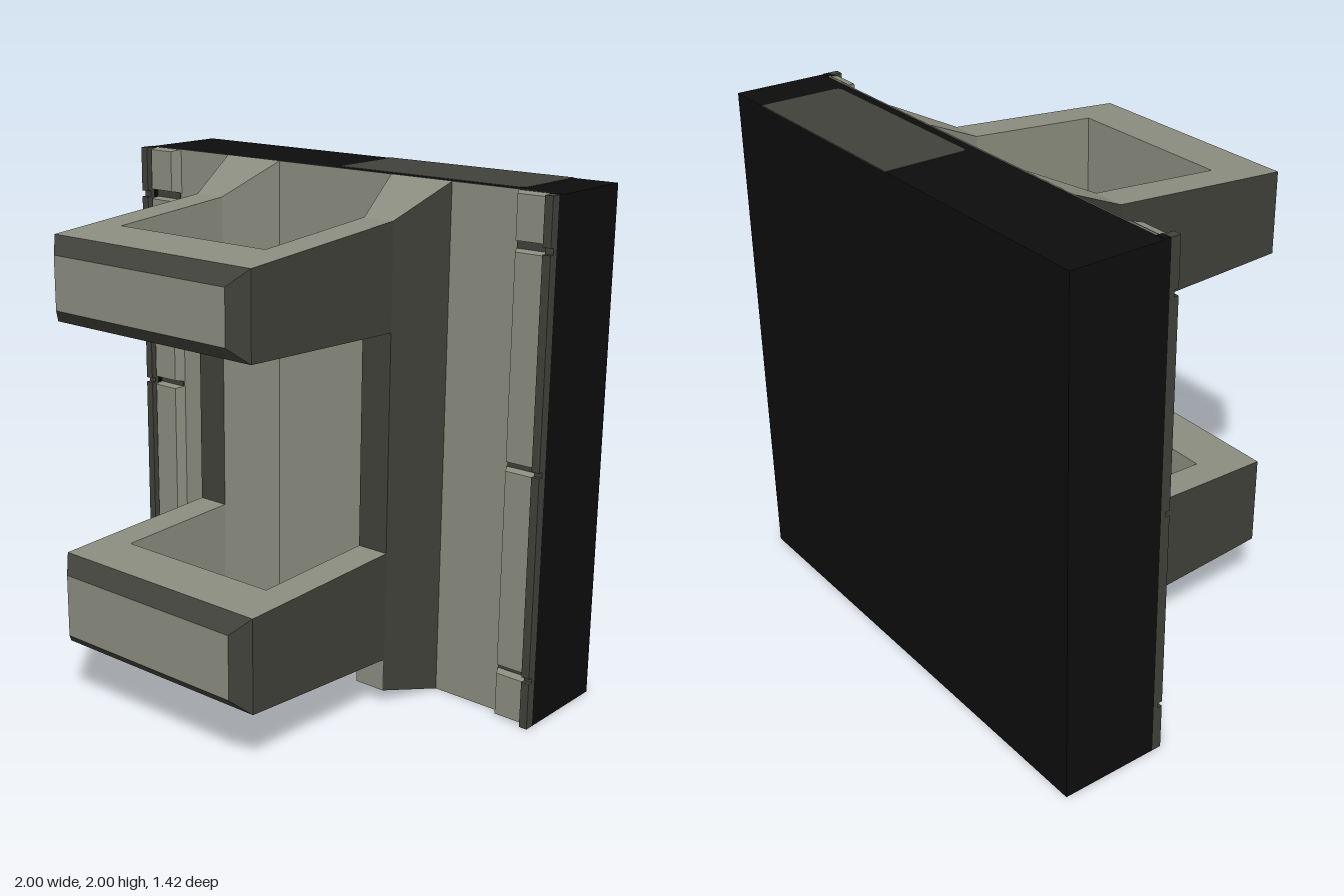
import * as THREE from 'three';

const flat = (name, color) => {
  const m = new THREE.MeshStandardMaterial({ color });
  m.name = name;
  return m;
};

export function createModel() {
  const root = new THREE.Group();
  root.name = 'wallBracket';
  const olive = flat('olive', 0x8b8d7f);
  const darkOlive = flat('darkOlive', 0x40413a);
  const black = flat('black', 0x0d0d0d);
  const L = 0, D = 1; // material slots

  function box(name, mat, x0, x1, y0, y1, z0, z1) {
    const m = new THREE.Mesh(new THREE.BoxGeometry(x1 - x0, y1 - y0, z1 - z0), mat);
    m.position.set((x0 + x1) / 2, (y0 + y1) / 2, (z0 + z1) / 2);
    m.name = name;
    root.add(m);
  }

  // Rectangular sections [x0, x1, y0, y1, z] joined along z.
  // Slots per step: [bottom, right, top, left]; cap is the front end.
  function loft(name, sections, steps, cap = -1, backCap = -1) {
    const rings = sections.map(([a, b, c, d, z]) => [[a, c, z], [b, c, z], [b, d, z], [a, d, z]]);
    const pos = [];
    const g = new THREE.BufferGeometry();
    const quad = (a, b, c, d, slot) => {
      g.addGroup(pos.length / 3, 6, slot);
      pos.push(...a, ...b, ...c, ...a, ...c, ...d);
    };
    for (let i = 0; i + 1 < rings.length; i++) {
      for (let k = 0; k < 4; k++) {
        const n = (k + 1) % 4;
        quad(rings[i][k], rings[i][n], rings[i + 1][n], rings[i + 1][k], steps[i][k]);
      }
    }
    if (cap >= 0) quad(...rings[rings.length - 1], cap);
    if (backCap >= 0) quad(...[...rings[0]].reverse(), backCap);
    g.setAttribute('position', new THREE.Float32BufferAttribute(pos, 3));
    g.computeVertexNormals();
    const m = new THREE.Mesh(g, [olive, darkOlive]);
    m.name = name;
    root.add(m);
  }

  // Backing slab, front sheet and top inlay
  box('slab', black, -1, 1, 0, 1.998, -0.71, -0.345);
  box('frontSheet', olive, -0.96, 0.96, 0, 2, -0.345, -0.34);
  const s = new THREE.Shape();
  s.moveTo(-0.02, 0.71);
  s.lineTo(-0.02, 0.405);
  s.quadraticCurveTo(-0.02, 0.38, 0.005, 0.38);
  s.lineTo(0.795, 0.38);
  s.quadraticCurveTo(0.82, 0.38, 0.82, 0.405);
  s.lineTo(0.82, 0.71);
  const inlay = new THREE.Mesh(new THREE.ExtrudeGeometry(s, { depth: 0.003, bevelEnabled: false }), darkOlive);
  inlay.name = 'topInlay';
  inlay.rotation.x = -Math.PI / 2;
  inlay.position.y = 1.997;
  root.add(inlay);

  // Side rails: black edge, dark lip and a row of bevelled pads
  const spans = [[0, 0.185], [0.205, 0.99], [1.01, 1.795], [1.82, 2]];
  for (const side of [-1, 1]) {
    const span = (inner, outer) => (side > 0 ? [inner, outer] : [-outer, -inner]);
    box('railEdge', black, ...span(0.96, 1), 0, 2, -0.345, -0.32);
    box('railBed', darkOlive, ...span(0.83, 0.97), 0, 2, -0.34, -0.334);
    for (const [y0, y1] of spans) {
      box('railLip', darkOlive, ...span(0.967, 1), y0, y1, -0.32, -0.282);
      loft('railPad', [
        [...span(0.825, 0.965), y0, y1, -0.34],
        [...span(0.845, 0.96), y0 + 0.008, y1 - 0.008, -0.3],
      ], [[L, L, L, L]], L);
    }
    box('lipBed', darkOlive, ...span(0.967, 1), 0, 2, -0.32, -0.3);
  }

  // Heights of both loops at the post, bar back and bar front: [bottom, top]
  const loops = [
    [[0.19, 0.625], [0.222, 0.607], [0.235, 0.6]],
    [[1.475, 1.88], [1.493, 1.837], [1.5, 1.82]],
  ];
  const C = -0.01; // handle centre in x

  // Flared posts with arms
  for (const side of [-1, 1]) {
    const span = (inner, outer) => (side > 0 ? [C + inner, C + outer] : [C - outer, C - inner]);
    const slots = side > 0 ? [L, D, L, L] : [L, L, L, D];
    loft('post', [
      [...span(0.275, 0.55), 0, 2, -0.34],
      [...span(0.35, 0.48), 0.06, 1.88, -0.09],
    ], [slots], D);
    box('postFoot', olive, ...span(0.35, 0.48), 0.06, 0.19, -0.092, -0.088);
    for (const [a, b] of loops) {
      loft('arm', [
        [...span(0.35, 0.48), ...a, -0.09],
        [...span(0.35, 0.477), ...b, 0.44],
      ], [slots]);
    }
  }

  // Cross bars with bevelled fronts
  for (const [, b, c] of loops) {
    loft('crossBar', [
      [C - 0.477, C + 0.477, ...b, 0.44],
      [C - 0.475, C + 0.475, ...c, 0.65],
      [C - 0.415, C + 0.415, c[0] + 0.058, c[1] - 0.06, 0.71],
    ], [[L, D, L, D], [D, D, D, D]], L, L);
  }
  return root;
}
